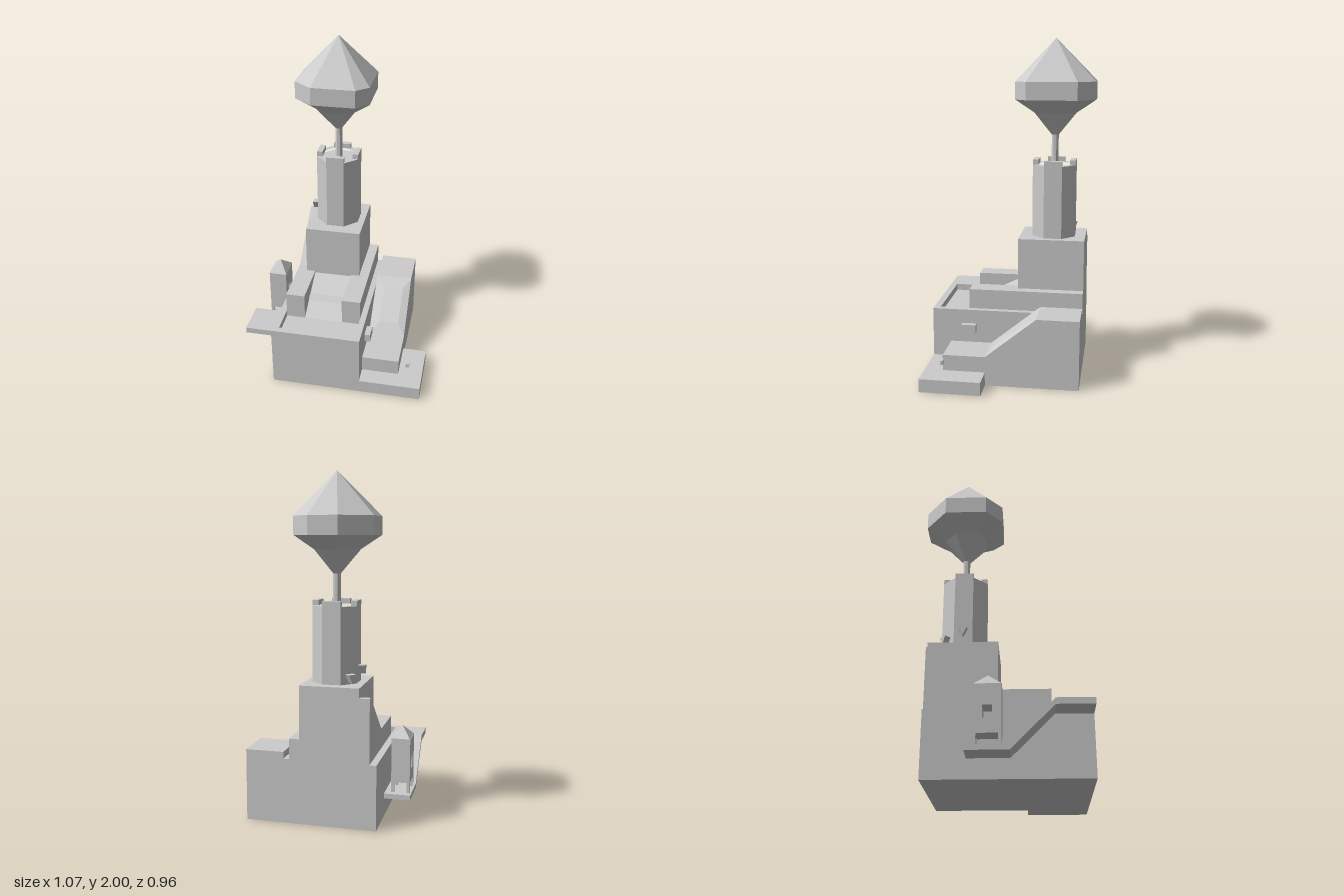
import * as THREE from 'three';

const stone = new THREE.MeshStandardMaterial({ color: 0xcccccc, flatShading: true });
stone.name = 'stone grey';

export function createModel() {
  const model = new THREE.Group();
  model.name = 'tower';

  const add = (name, geo, parent = model) => {
    const mesh = new THREE.Mesh(geo, stone);
    mesh.name = name;
    parent.add(mesh);
    return mesh;
  };
  // box from its limits
  const box = (name, x0, x1, y0, y1, z0, z1) => {
    const g = new THREE.BoxGeometry(x1 - x0, y1 - y0, z1 - z0);
    return add(name, g.translate((x0 + x1) / 2, (y0 + y1) / 2, (z0 + z1) / 2));
  };
  const toShape = (pts) => new THREE.Shape(pts.map(([a, b]) => new THREE.Vector2(a, b)));
  // side profile in (z, y), extruded across x
  const prism = (name, profile, x0, x1) => {
    const g = new THREE.ExtrudeGeometry(toShape(profile), { depth: x1 - x0, bevelEnabled: false });
    return add(name, g.rotateY(-Math.PI / 2).translate(x1, 0, 0));
  };
  // floor plan in (x, z), extruded upward
  const plan = (name, outline, y0, y1, hole) => {
    const flip = (pts) => pts.map(([x, z]) => [x, -z]);
    const s = toShape(flip(outline));
    if (hole) s.holes.push(toShape(flip(hole)));
    const g = new THREE.ExtrudeGeometry(s, { depth: y1 - y0, bevelEnabled: false });
    return add(name, g.rotateX(-Math.PI / 2).translate(0, y0, 0));
  };
  // skin over a stack of equal-length rings, last ring closed by a fan
  const loft = (name, rings) => {
    const p = [];
    const last = rings[rings.length - 1], n = last.length;
    for (let r = 0; r < rings.length - 1; r++) {
      const a = rings[r], b = rings[r + 1];
      for (let i = 0; i < n; i++) {
        const j = (i + 1) % n;
        p.push(...a[i], ...a[j], ...b[j], ...a[i], ...b[j], ...b[i]);
      }
    }
    for (let i = 1; i < n - 1; i++) p.push(...last[0], ...last[i], ...last[i + 1]);
    const g = new THREE.BufferGeometry();
    g.setAttribute('position', new THREE.Float32BufferAttribute(p, 3));
    g.computeVertexNormals();
    return add(name, g);
  };

  // main base with a sunken front court
  box('base', -0.38, 0.16, 0, 0.34, -0.43, 0.48);
  plan('courtRim', [[-0.38, -0.43], [0.16, -0.43], [0.16, 0.48], [-0.38, 0.48]], 0.34, 0.38,
    [[-0.34, 0.44], [0.125, 0.44], [0.125, 0.26], [0.01, 0.26], [0.01, -0.03],
      [-0.225, -0.03], [-0.225, 0.26], [-0.34, 0.26]]);
  plan('terrace', [[-0.34, -0.43], [0.125, -0.43], [0.125, 0.26], [0.01, 0.26], [0.01, -0.03],
    [-0.225, -0.03], [-0.225, 0.26], [-0.34, 0.26]], 0.38, 0.5);
  prism('terraceRamp', [[0.26, 0.34], [0.15, 0.397], [0.13, 0.42], [0.11, 0.42], [-0.03, 0.49],
    [-0.03, 0.34]], -0.225, 0.01);

  // keep and its sloping side buttress
  box('keep', -0.28, 0.065, 0.5, 0.81, -0.43, -0.03);
  prism('buttress', [[-0.43, 0.5], [-0.08, 0.5], [-0.395, 0.755], [-0.43, 0.755]], -0.34, -0.28);

  // side wing: low slab, step and long ramp with a raised panel
  box('entranceSlab', 0.16, 0.53, 0, 0.08, 0.12, 0.48);
  box('entranceStep', 0.16, 0.385, 0.08, 0.175, 0.12, 0.37);
  prism('sideRamp', [[-0.43, 0], [0.12, 0], [0.12, 0.175], [-0.18, 0.42], [-0.43, 0.42]], 0.16, 0.385);
  const onRamp = (x, z, lift) => [x, 0.175 + (0.12 - z) * 0.8167 + lift * 0.77, z + lift * 0.63];
  const panel = (x0, x1, z0, z1, lift) =>
    [[x0, z0], [x0, z1], [x1, z1], [x1, z0]].map(([x, z]) => onRamp(x, z, lift));
  loft('rampPanel', [panel(0.16, 0.385, -0.18, 0.12, 0), panel(0.22, 0.34, -0.12, 0.06, 0.012)]);
  box('wallBlock', 0.16, 0.195, 0.245, 0.295, 0.21, 0.3);
  box('smallBlock', 0.43, 0.45, 0.14, 0.165, 0.355, 0.37);

  // balcony, slide and lower landing on the other side
  prism('balconySlide', [[-0.19, 0.11], [0.04, 0.11], [0.275, 0.345], [0.48, 0.345], [0.48, 0.38],
    [0.275, 0.38], [0.04, 0.14], [-0.19, 0.14]], -0.535, -0.38);

  // small kiosk with a window through it, standing on posts
  const kx = -0.4675, kz = -0.075;
  box('kioskSill', -0.525, -0.415, 0.2, 0.28, -0.15, 0);
  box('kioskHead', -0.525, -0.415, 0.35, 0.465, -0.15, 0);
  for (const [z0, z1] of [[-0.15, -0.1], [-0.05, 0]]) box('kioskJamb', -0.525, -0.415, 0.28, 0.35, z0, z1);
  for (const x of [-0.525, -0.433])
    for (const z of [-0.15, -0.018]) box('kioskPost', x, x + 0.018, 0.14, 0.2, z, z + 0.018);
  const square = (s, y) => [[-1, -1], [-1, 1], [1, 1], [1, -1]]
    .map(([a, b]) => [kx + a * 0.055 * s, y, kz + b * 0.075 * s]);
  loft('kioskRoof', [square(1, 0.465), square(0.01, 0.53)]);

  // octagonal tower with battlements
  const cx = -0.105, cz = -0.235;
  const octagon = (flat) => Array.from({ length: 8 }, (_, i) => {
    const a = (i + 0.5) * Math.PI / 4, r = flat / Math.cos(Math.PI / 8);
    return [cx + r * Math.cos(a), cz + r * Math.sin(a)];
  });
  plan('towerShaft', octagon(0.13), 0.81, 1.22);
  plan('towerParapet', octagon(0.13), 1.22, 1.25, octagon(0.095));
  const battlements = new THREE.Group();
  battlements.name = 'battlements';
  battlements.position.set(cx, 1.265, cz);
  model.add(battlements);
  for (let i = 0; i < 4; i++) {
    const g = new THREE.BoxGeometry(0.108, 0.03, 0.035).translate(0, 0, 0.1125);
    add('merlon', g.rotateY(i * Math.PI / 2), battlements);
  }

  // little wedge corbels on the tower sides
  for (const [angle, top] of [[0, 0.91], [-Math.PI / 4, 0.87]]) {
    const corbel = prism('corbel', [[-0.025, top], [0, top - 0.05], [0.025, top]], -0.17, -0.125);
    corbel.position.set(cx, 0, cz);
    corbel.rotation.y = angle;
  }

  // mast and faceted crown
  add('mast', new THREE.CylinderGeometry(0.022, 0.022, 0.23, 8)
    .rotateY(Math.PI / 8).translate(cx, 1.325, cz));
  const crown = [[-0.34, -0.35], [-0.34, -0.105], [-0.225, -0.01], [0.037, -0.01],
    [0.108, -0.08], [0.108, -0.379], [0, -0.481], [-0.168, -0.481]];
  const ring = (s, y) => crown.map(([x, z]) => [cx + (x - cx) * s, y, cz + (z - cz) * s]);
  loft('crown', [ring(0.09, 1.43), ring(0.53, 1.565), ring(1, 1.645), ring(1, 1.75), ring(0.005, 2)]);

  return model;
}
